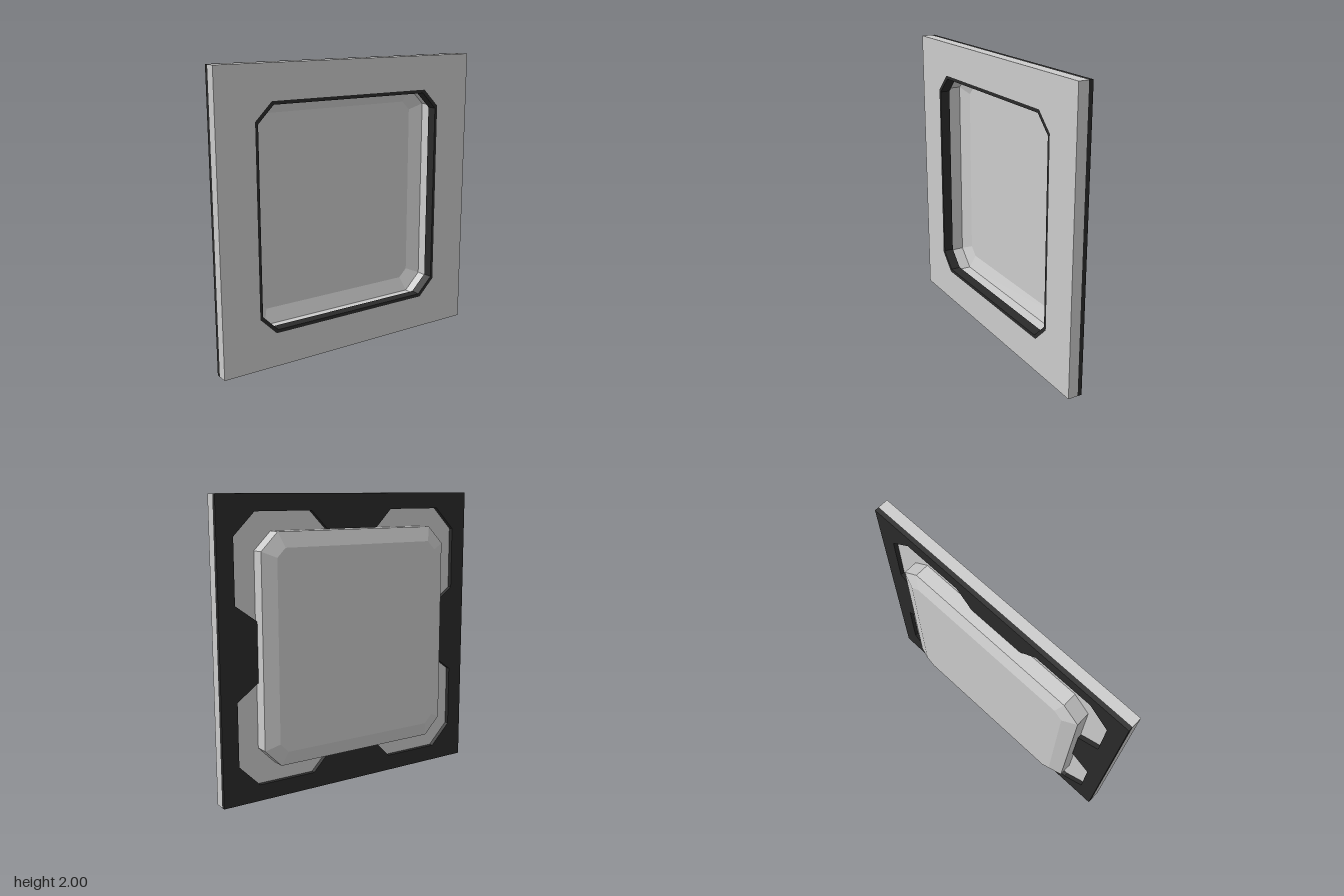
import * as THREE from 'three';

const grey = new THREE.MeshStandardMaterial({ color: 0xcccccc, flatShading: true });
const greySheet = new THREE.MeshStandardMaterial({ color: 0xcccccc, flatShading: true, side: THREE.DoubleSide });
const black = new THREE.MeshStandardMaterial({ color: 0x2a2a2a, flatShading: true });

// Repeat a first-quadrant run of points in all four quadrants, counter-clockwise
function mirrored(points) {
  const flip = (sx, sy) => points.map(([x, y]) => new THREE.Vector2(x * sx, y * sy));
  return [...flip(1, 1), ...flip(-1, 1).reverse(), ...flip(-1, -1), ...flip(1, -1).reverse()];
}

// Rectangle with chamfered corners, given by half sizes
const octagon = (w, h, c) => mirrored([[w, h - c], [w - c, h]]);

// Flat slab with one opening, from z0 to z1
function slab(name, outline, hole, z0, z1, material) {
  const shape = new THREE.Shape(outline);
  shape.holes.push(new THREE.Path(hole));
  const geometry = new THREE.ExtrudeGeometry(shape, { depth: z1 - z0, bevelEnabled: false });
  geometry.translate(0, 1, z0);
  const mesh = new THREE.Mesh(geometry, material);
  mesh.name = name;
  return mesh;
}

// Thin dished tray: straight wall, sloped rim and flat back
function tray() {
  const rings = [
    [octagon(0.73, 0.765, 0.12), 0.03],
    [octagon(0.73, 0.765, 0.12), -0.065],
    [octagon(0.635, 0.665, 0.06), -0.1],
  ].map(([loop, z]) => loop.map((p) => new THREE.Vector3(p.x, p.y + 1, z)));
  const corners = [];
  for (let r = 0; r < rings.length - 1; r++) {
    const a = rings[r], b = rings[r + 1];
    for (let i = 0; i < a.length; i++) {
      const j = (i + 1) % a.length;
      corners.push(a[i], b[i], b[j], a[i], b[j], a[j]);
    }
  }
  const back = rings[rings.length - 1];
  for (let i = 1; i < back.length - 1; i++) corners.push(back[0], back[i + 1], back[i]);
  const geometry = new THREE.BufferGeometry().setFromPoints(corners);
  geometry.computeVertexNormals();
  const mesh = new THREE.Mesh(geometry, greySheet);
  mesh.name = 'tray';
  return mesh;
}

export function createModel() {
  const group = new THREE.Group();
  group.name = 'recessedPanel';
  const square = mirrored([[1, 1]]);
  const opening = octagon(0.73, 0.765, 0.12);

  // Front plate and the dark trim lining its opening
  group.add(slab('frontPlate', square, opening, 0.03, 0.1, grey));
  group.add(slab('openingTrim', opening, octagon(0.71, 0.742, 0.113), 0.03, 0.1, black));

  // Dark backing frame with four corner cut-outs, leaving a tab on each side
  const cutout = mirrored([
    [0.733, 0.2], [0.885, 0.31], [0.885, 0.74], [0.735, 0.89], [0.32, 0.89], [0.2, 0.768],
  ]);
  group.add(slab('backingFrame', square, cutout, 0, 0.03, black));

  group.add(tray());
  return group;
}
